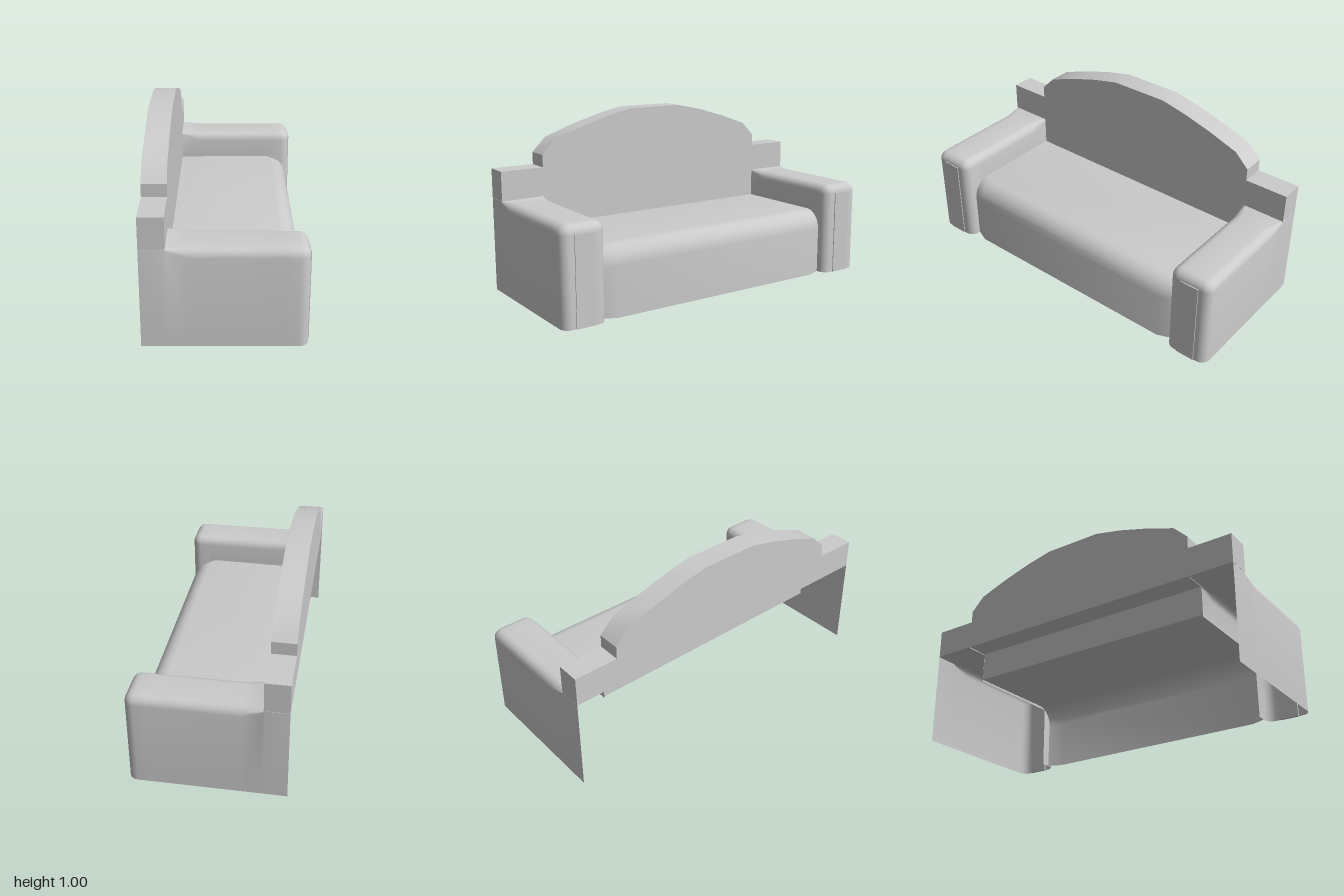
import * as THREE from 'three';
import { toCreasedNormals } from 'three/addons/utils/BufferGeometryUtils.js';

const material = new THREE.MeshStandardMaterial({ color: 0xcccccc, side: THREE.DoubleSide });

function addMesh(parent, name, geometry) {
  const mesh = new THREE.Mesh(geometry, material);
  mesh.name = name;
  parent.add(mesh);
  return mesh;
}

function addBox(parent, name, x0, x1, y0, y1, z0, z1) {
  const mesh = addMesh(parent, name, new THREE.BoxGeometry(x1 - x0, y1 - y0, Math.abs(z1 - z0)));
  mesh.position.set((x0 + x1) / 2, (y0 + y1) / 2, (z0 + z1) / 2);
}

// Skin a surface through rows of [x, y, z] points
function loft(rows) {
  const n = rows[0].length, index = [];
  for (let i = 0; i < rows.length - 1; i++) {
    for (let j = 0; j < n - 1; j++) {
      const a = i * n + j, b = a + n;
      index.push(a, b, a + 1, b, b + 1, a + 1);
    }
  }
  const geometry = new THREE.BufferGeometry();
  geometry.setAttribute('position', new THREE.Float32BufferAttribute(rows.flat(2), 3));
  geometry.setIndex(index);
  return toCreasedNormals(geometry, 0.7);
}

// Arm cross-section: outer wall, rounded top, inner wall
function armSection(side, x, inset, r, innerY) {
  const top = 0.535 - inset, outer = 1 - inset, inner = 0.75 + inset, steps = 5;
  const points = [[x, 0, side * outer]];
  for (let i = 0; i <= steps; i++) {
    const a = (i / steps) * Math.PI / 2;
    points.push([x, top - r + r * Math.sin(a), side * (outer - r + r * Math.cos(a))]);
  }
  for (let i = steps; i >= 0; i--) {
    const a = (i / steps) * Math.PI / 2;
    points.push([x, top - r + r * Math.sin(a), side * (inner + r - r * Math.cos(a))]);
  }
  points.push([x, innerY, side * inner]);
  return points;
}

function createArm(side) {
  const arm = new THREE.Group();
  arm.name = side > 0 ? 'leftArm' : 'rightArm';
  const r = 0.05;
  const rows = [
    armSection(side, -0.42, 0, 0.002, 0.53),
    armSection(side, -0.292, 0, 0.002, 0.53),
    armSection(side, -0.29, 0, 0.012, 0.36),
    armSection(side, -0.18, 0, r, 0.36),
    armSection(side, 0.3, 0, r, 0.36),
    armSection(side, 0.305, 0, r, 0),
  ];
  // Rounded front end
  for (let i = 0; i <= 5; i++) {
    const a = (i / 5) * Math.PI / 2, inset = r * (1 - Math.cos(a));
    rows.push(armSection(side, 0.365 + r * Math.sin(a), inset, r - inset + 0.002, 0));
  }
  // Flat front cap
  rows.push(rows[rows.length - 1].map(([x, y]) => [x, y, side * 0.875]));
  addMesh(arm, 'armShell', loft(rows));
  addBox(arm, 'armFrontPanel', 0.405, 0.42, 0, 0.488, side * 0.822, side * 0.93);
  addBox(arm, 'backPost', -0.42, -0.29, 0.535, 0.7, side * 0.75, side);
  return arm;
}

export function createModel() {
  const sofa = new THREE.Group();
  sofa.name = 'sofa';
  sofa.add(createArm(1), createArm(-1));

  // Seat: front apron, rounded front edge and top, tapered at both ends
  const seatSection = (z, front, top) => {
    const points = [[front, 0, z]];
    for (let i = 0; i <= 6; i++) {
      const a = (i / 6) * Math.PI / 2;
      points.push([front - 0.1 + 0.1 * Math.cos(a), top - 0.11 + 0.11 * Math.sin(a), z]);
    }
    points.push([-0.29, 0.37, z]);
    return points;
  };
  addMesh(sofa, 'seat', loft([
    seatSection(-0.75, 0.355, 0.375),
    seatSection(-0.67, 0.388, 0.388),
    seatSection(0.67, 0.388, 0.388),
    seatSection(0.75, 0.355, 0.375),
  ]));

  // Arched backrest
  const half = [[0.75, 0.77], [0.67, 0.85], [0.5, 0.91], [0.33, 0.96], [0.17, 0.995]];
  const outline = [[0.75, 0.535], ...half, ...half.map(([z, y]) => [-z, y]).reverse(), [-0.75, 0.535]];
  const shape = new THREE.Shape(outline.map(([z, y]) => new THREE.Vector2(z, y)));
  const backGeometry = new THREE.ExtrudeGeometry(shape, { depth: 0.13, bevelEnabled: false });
  backGeometry.rotateY(-Math.PI / 2).translate(-0.29, 0, 0);
  addMesh(sofa, 'backrest', toCreasedNormals(backGeometry, 0.6));

  // Front of the backrest continues down to the seat
  const lower = new THREE.PlaneGeometry(1.5, 0.165);
  lower.rotateY(Math.PI / 2).translate(-0.29, 0.4525, 0);
  addMesh(sofa, 'lowerBackrest', lower);

  return sofa;
}
